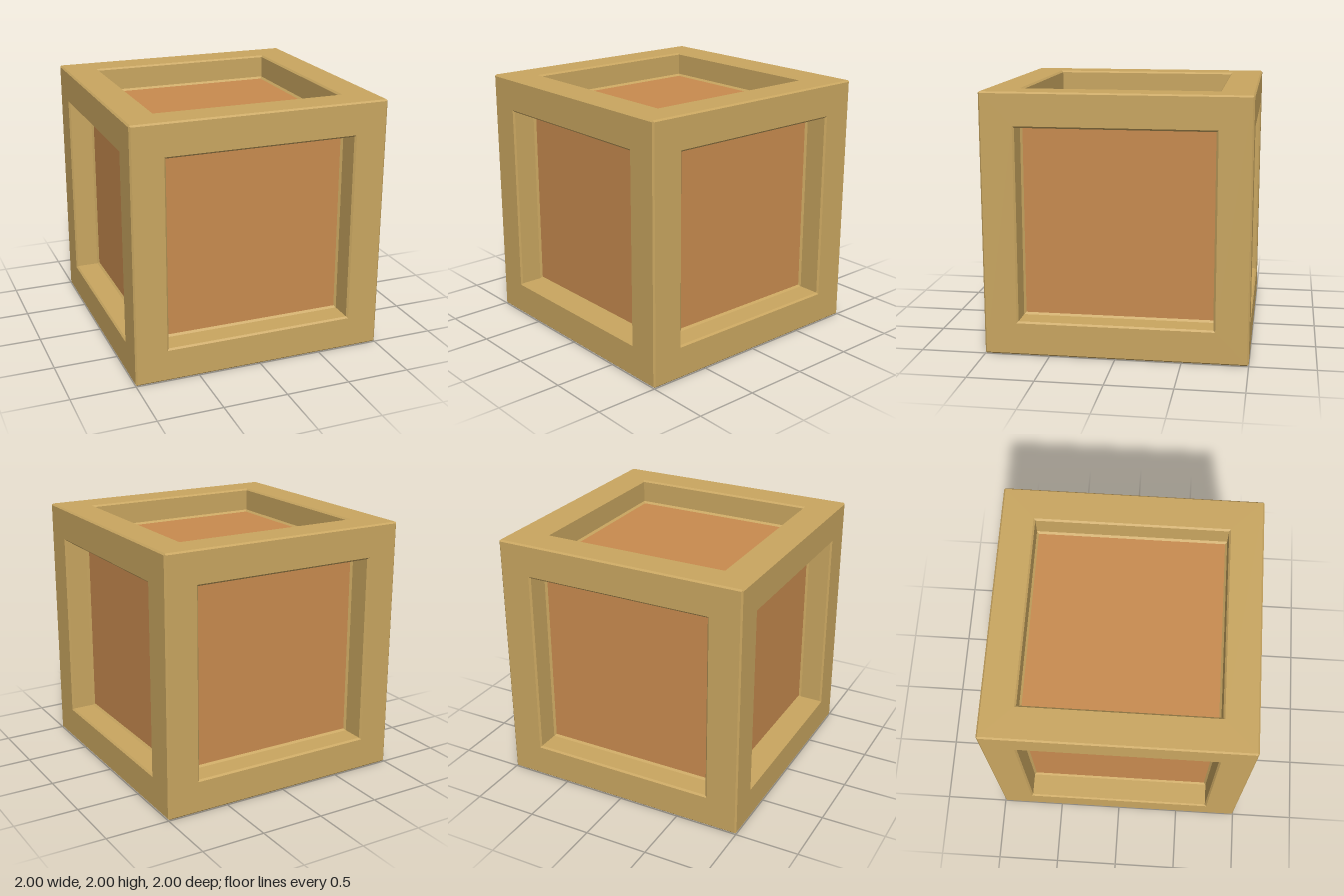
import * as THREE from 'three';

const frameMat = new THREE.MeshStandardMaterial({ color: 0xc9a660 });
frameMat.name = 'light wood';
const panelMat = new THREE.MeshStandardMaterial({ color: 0xc88b4f });
panelMat.name = 'orange wood';

// Frame section from outer edge to panel: [half width, distance from centre]
const profile = [
  [0.994, 0.994], [0.988, 1], [0.75, 1], [0.737, 0.987], [0.737, 0.815], [0.722, 0.8],
];

// Square ring facing +y: a four-sided lathe with flat faces
function frameGeometry() {
  const points = profile.map(([r, h]) => new THREE.Vector2(r * Math.SQRT2, h));
  const geometry = new THREE.LatheGeometry(points, 4, Math.PI / 4).toNonIndexed();
  geometry.computeVertexNormals();
  return geometry;
}

export function createModel() {
  const crate = new THREE.Group();
  crate.name = 'crate';

  // Recessed panels are the faces of one inner box
  const core = new THREE.Mesh(new THREE.BoxGeometry(1.6, 1.6, 1.6), panelMat);
  core.name = 'innerPanels';
  core.position.y = 1;
  crate.add(core);

  // One bevelled frame per side; they meet along the chamfered edges
  const q = Math.PI / 2;
  const sides = {
    top: [0, 0], bottom: [2 * q, 0], front: [q, 0], back: [-q, 0], left: [0, -q], right: [0, q],
  };
  const geometry = frameGeometry();
  for (const [side, [rx, rz]] of Object.entries(sides)) {
    const frame = new THREE.Mesh(geometry, frameMat);
    frame.name = side + 'Frame';
    frame.rotation.set(rx, 0, rz);
    frame.position.y = 1;
    crate.add(frame);
  }
  return crate;
}
